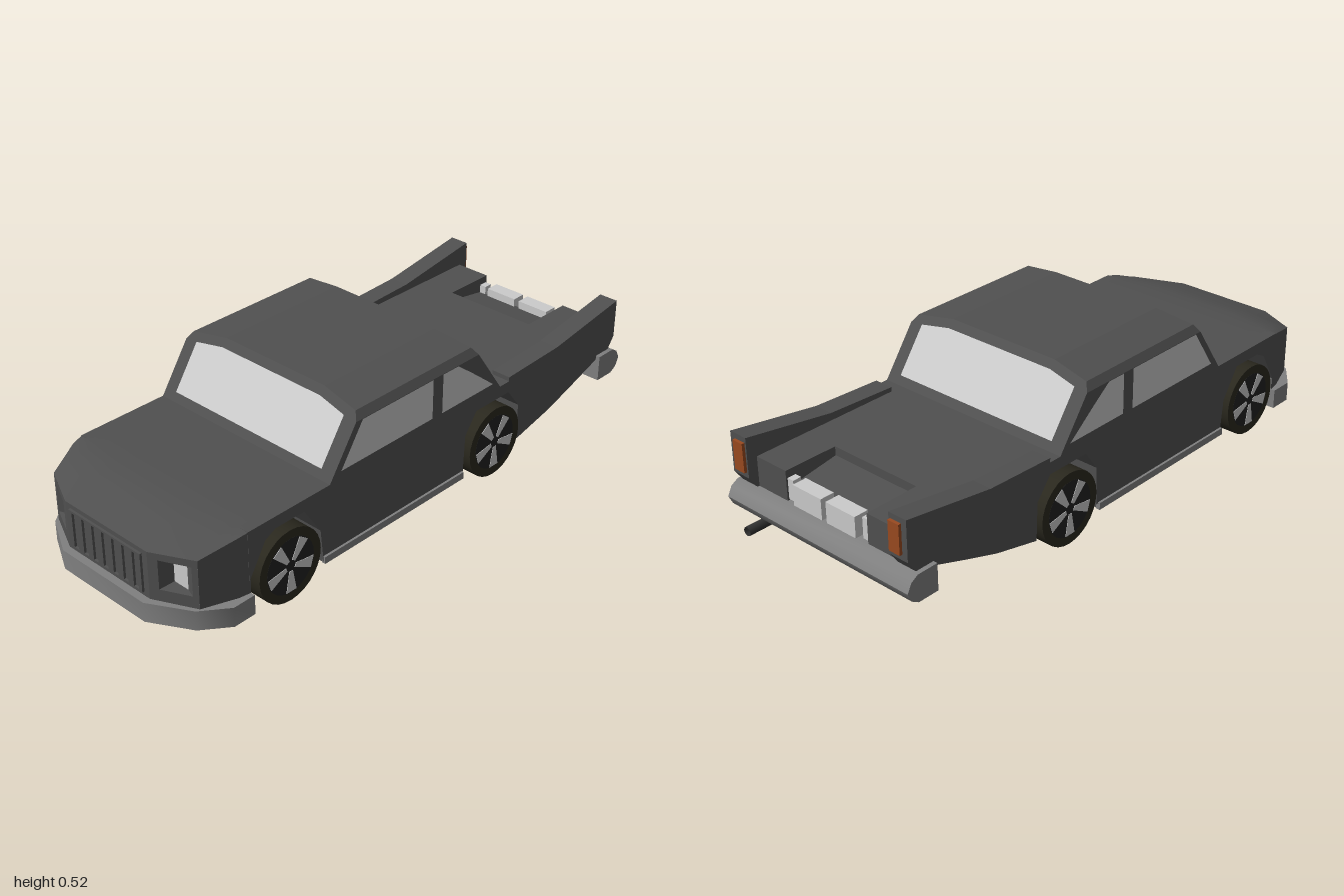
import * as THREE from 'three';
import { toCreasedNormals } from 'three/addons/utils/BufferGeometryUtils.js';

const mat = (color, side = THREE.FrontSide) => new THREE.MeshStandardMaterial({ color, side });
const paint = mat(0x505050, THREE.DoubleSide);
const dark = mat(0x222222);
const chrome = mat(0x808080);
const glass = mat(0xcccccc, THREE.DoubleSide);
const rubber = mat(0x2a281e);
const amber = mat(0x9a4a20);

const polygon = (pts) => new THREE.Shape(pts.map(([a, b]) => new THREE.Vector2(a, b)));
const rect = (x0, x1, y0, y1) => [[x0, y0], [x1, y0], [x1, y1], [x0, y1]];

export function createModel() {
  const car = new THREE.Group();
  car.name = 'car';

  const add = (name, geometry, material, parent = car) => {
    const mesh = new THREE.Mesh(geometry, material);
    mesh.name = name;
    parent.add(mesh);
    return mesh;
  };
  const box = (name, x, y, z, w, h, d, material) =>
    add(name, new THREE.BoxGeometry(w, h, d), material).position.set(x, y, z);
  const soften = (mesh) => { mesh.geometry = toCreasedNormals(mesh.geometry, 0.75); };

  // Side profile of (z, y) points, extruded from x0 to x1
  const profile = (name, pts, x0, x1, material) =>
    add(name, new THREE.ExtrudeGeometry(polygon(pts), { depth: x1 - x0, bevelEnabled: false })
      .rotateY(-Math.PI / 2).translate(x1, 0, 0), material);

  // Thin panel: 2D outline with optional hole, placed in space by a rule
  const panel = (name, pts, place, material, hole) => {
    const shape = polygon(pts);
    if (hole) shape.holes.push(polygon(hole));
    const g = new THREE.ShapeGeometry(shape);
    const p = g.attributes.position;
    for (let i = 0; i < p.count; i++) p.setXYZ(i, ...place(p.getX(i), p.getY(i)));
    g.computeVertexNormals();
    return add(name, g, material);
  };

  // Faceted skin through rows of [x, y, z] points
  const loft = (name, rows, closed, material) => {
    const v = [];
    const n = rows[0].length;
    for (let r = 0; r < rows.length - 1; r++) {
      for (let i = 0; i < (closed ? n : n - 1); i++) {
        const j = (i + 1) % n;
        const [a, b, c, d] = [rows[r][i], rows[r][j], rows[r + 1][j], rows[r + 1][i]];
        v.push(...a, ...b, ...c, ...a, ...c, ...d);
      }
    }
    const g = new THREE.BufferGeometry();
    g.setAttribute('position', new THREE.Float32BufferAttribute(v, 3));
    g.computeVertexNormals();
    return add(name, g, material);
  };

  // Main body with angular wheel arches
  profile('body', [
    [0.765, 0.31], [0.765, 0.14], [0.7, 0.25], [0.66, 0.27], [0.545, 0.27], [0.48, 0.17],
    [0.47, 0.07], [-0.165, 0.07], [-0.17, 0.2], [-0.22, 0.27], [-0.38, 0.27], [-0.435, 0.2],
    [-0.44, 0.07], [-0.61, 0.11], [-0.73, 0.15], [-0.73, 0.31],
  ], -0.365, 0.365, paint);
  box('belly', 0, 0.195, 0.155, 0.48, 0.19, 1.21, paint);
  box('floorPan', 0, 0.062, 0.155, 0.735, 0.02, 0.63, paint);
  for (const s of [-1, 1]) box('sill', s * 0.366, 0.061, 0.155, 0.014, 0.024, 0.63, chrome);

  // Tapered nose: walls, then the smooth hood above them
  const plan = [[0.365, 0.76], [0.358, 0.8], [0.317, 0.91], [0.18, 0.975]];
  const topY = [0.309, 0.302, 0.265, 0.262];
  const noseRow = (f) => [
    ...plan.map(([x, z], i) => f(-x, z, i)),
    ...plan.map(([x, z], i) => f(x, z, i)).reverse(),
  ];
  const noseBase = noseRow((x, z) => [x, 0.09, z]);
  const noseTop = noseRow((x, z, i) => [x, topY[i], z]);
  for (const [a, b] of [[0, 3], [3, 5], [5, 8]]) {
    loft('noseWall', [noseBase.slice(a, b), noseTop.slice(a, b)], false, paint);
  }
  soften(loft('hood', [
    noseTop,
    noseRow((x, z, i) => [x * 0.95, [0.31, 0.308, 0.298, 0.296][i], [0.76, 0.78, 0.84, 0.87][i]]),
    noseRow((x, z, i) => [x * 0.9, 0.311, [0.755, 0.76, 0.77, 0.79][i]]),
    noseRow((x) => [x * 0.9, 0.311, 0.7]),
  ], false, paint));

  // Front bumper wrapping the nose
  const half = [[0.38, 0.76], [0.38, 0.84], [0.315, 0.925], [0.18, 1]];
  const bumperPlan = [...half, ...half.map(([x, z]) => [-x, z]).reverse()];
  soften(add('frontBumper', new THREE.ExtrudeGeometry(polygon(bumperPlan.map(([x, z]) => [x, -z])),
    { depth: 0.067, bevelEnabled: false }).rotateX(-Math.PI / 2).translate(0, 0.033, 0), chrome));

  // Grille plate with seven slots
  const grille = polygon(rect(-0.158, 0.158, 0.114, 0.247));
  for (let i = -3; i <= 3; i++) {
    grille.holes.push(polygon(rect(i * 0.0445 - 0.0105, i * 0.0445 + 0.0105, 0.12, 0.24)));
  }
  add('grille', new THREE.ExtrudeGeometry(grille, { depth: 0.01, bevelEnabled: false })
    .translate(0, 0, 0.973), paint);

  // Slanted nose corners with a headlight set into a pocket
  for (const s of [-1, 1]) {
    const onCorner = (x, y) => [s * x, y, 0.975 - (x - 0.18) * 0.474];
    const opening = rect(0.208, 0.3, 0.14, 0.24);
    const lens = rect(0.212, 0.27, 0.142, 0.238);
    const atBack = (x, y) => [s * x, y, 0.908];
    panel('noseCorner', [[0.18, 0.09], [0.317, 0.09], [0.317, 0.265], [0.18, 0.262]], onCorner, paint, opening);
    loft('headlightPocket', [opening.map((p) => onCorner(...p)), lens.map((p) => atBack(...p))], true, paint);
    panel('headlight', lens, atBack, glass);
  }

  // Cabin with chamfered roof edges
  const zFront = (y) => 0.44 - (y - 0.31) * (0.14 / 0.21);
  const zBack = (y) => -0.335 + (y - 0.31) * (0.15 / 0.21);
  const ring = (w, y) => [[w, y, zFront(y)], [w, y, zBack(y)], [-w, y, zBack(y)], [-w, y, zFront(y)]];
  loft('cabin', [ring(0.365, 0.305), ring(0.365, 0.473), ring(0.347, 0.498), ring(0.21, 0.519),
    ring(0, 0.519)], true, paint);

  // Windows
  const screen = [[-0.317, 0.337], [0.317, 0.337], [0.317, 0.478], [0.21, 0.495], [-0.21, 0.495], [-0.317, 0.478]];
  panel('windshield', screen, (x, y) => [x, y, zFront(y) + 0.004], glass);
  panel('rearWindow', screen, (x, y) => [x, y, zBack(y) - 0.004], glass);
  for (const s of [-1, 1]) {
    const onSide = (z, y) => [s * 0.367, y, z];
    panel('frontSideWindow', [[0.395, 0.337], [0.305, 0.473], [-0.005, 0.473], [-0.005, 0.337]], onSide, glass);
    panel('rearSideWindow', [[-0.05, 0.337], [-0.05, 0.473], [-0.12, 0.473], [-0.19, 0.42], [-0.295, 0.337]], onSide, glass);
  }

  // Rear quarters, fins, tail lights and trunk fittings
  for (const s of [-1, 1]) {
    const sided = (name, pts, a, b, m) => profile(name, pts, s > 0 ? a : -b, s > 0 ? b : -a, m);
    sided('rearQuarter', [[-0.73, 0.31], [-0.73, 0.15], [-0.86, 0.195], [-0.92, 0.2], [-0.92, 0.31]], 0.17, 0.365, paint);
    sided('tailFin', [[-0.38, 0.3], [-0.38, 0.325], [-0.63, 0.335], [-0.955, 0.385], [-0.955, 0.25], [-0.92, 0.2], [-0.8, 0.3]],
      0.297, 0.365, paint);
    box('tailLight', s * 0.324, 0.318, -0.957, 0.042, 0.098, 0.016, amber);
    box('trunkBox', s * 0.07, 0.25, -0.905, 0.12, 0.07, 0.05, glass);
    box('trunkPost', s * 0.157, 0.25, -0.9, 0.024, 0.07, 0.03, glass);
  }
  // Shallow trunk floor, and the tapering well beneath it
  profile('trunkFloor', [[-0.73, 0.15], [-0.87, 0.195], [-0.89, 0.2], [-0.89, 0.255], [-0.73, 0.28]],
    -0.17, 0.17, paint);
  profile('trunkWell', [[-0.55, 0.2], [-0.55, 0.095], [-0.74, 0.113], [-0.87, 0.19], [-0.87, 0.2]],
    -0.18, 0.18, paint);

  // Rear bumper with rounded back
  soften(profile('rearBumper', [[-0.86, 0.12], [-0.86, 0.21], [-0.935, 0.21], [-0.96, 0.195], [-0.975, 0.165],
    [-0.96, 0.135], [-0.935, 0.12]], -0.38, 0.38, chrome));

  // Exhaust pipe
  const route = new THREE.CatmullRomCurve3([[-0.46, 0.08], [-0.7, 0.097], [-0.85, 0.1], [-1, 0.1]]
    .map(([z, y]) => new THREE.Vector3(0.27, y, z)));
  add('exhaustPipe', new THREE.TubeGeometry(route, 8, 0.015, 8), mat(0x333333, THREE.DoubleSide));

  // Wheels with five wedge spokes
  const spoke = polygon([[-0.007, 0.018], [0.007, 0.018], [0.02, 0.09], [-0.02, 0.09]]);
  for (const s of [-1, 1]) {
    for (const z of [0.615, -0.305]) {
      const wheel = new THREE.Group();
      wheel.name = 'wheel';
      wheel.position.set(s * 0.313, 0.123, z);
      wheel.rotation.y = s * Math.PI / 2;
      car.add(wheel);
      add('tyre', new THREE.CylinderGeometry(0.123, 0.123, 0.128, 28).rotateX(Math.PI / 2), rubber, wheel);
      add('rim', new THREE.CylinderGeometry(0.094, 0.094, 0.129, 28).rotateX(Math.PI / 2), dark, wheel);
      for (let i = 0; i < 5; i++) {
        add('spoke', new THREE.ExtrudeGeometry(spoke, { depth: 0.003, bevelEnabled: false })
          .translate(0, 0, 0.063).rotateZ(Math.PI + i * Math.PI * 2 / 5), glass, wheel);
      }
    }
  }
  return car;
}
